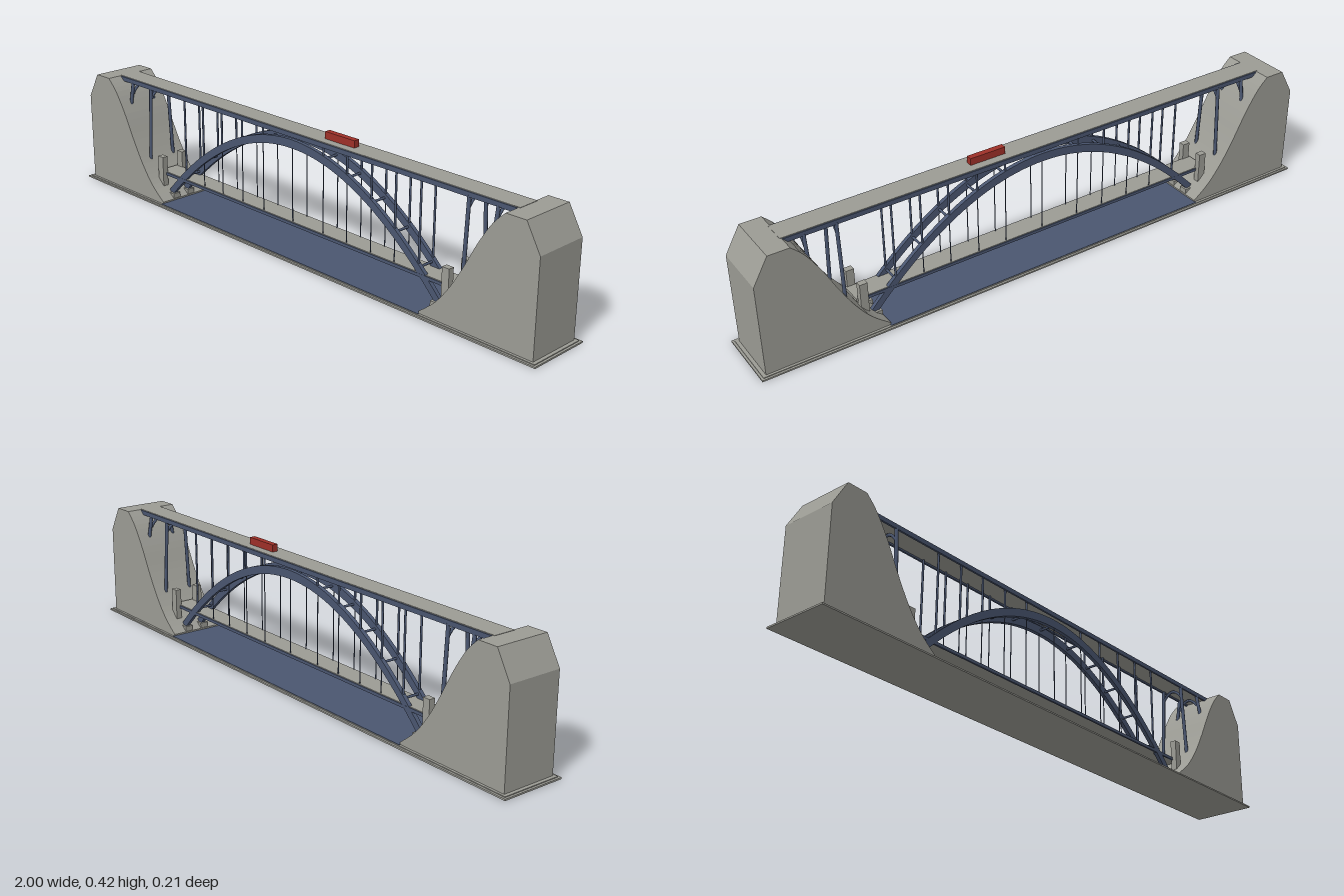
import * as THREE from 'three';

export function createModel() {
  const model = new THREE.Group();
  model.name = 'archBridge';
  const mat = (name, color) => {
    const m = new THREE.MeshStandardMaterial({ color });
    m.name = name;
    return m;
  };
  const concrete = mat('concrete', 0x9b9b94);
  const steel = mat('blueSteel', 0x4a5670);
  const red = mat('trainRed', 0x9e3028);

  const add = (name, geo, material) => {
    const mesh = new THREE.Mesh(geo, material);
    mesh.name = name;
    model.add(mesh);
    return mesh;
  };
  // box given by its minimum and maximum corners
  const box = (name, material, x0, x1, y0, y1, z0, z1) =>
    add(name, new THREE.BoxGeometry(x1 - x0, y1 - y0, z1 - z0), material)
      .position.set((x0 + x1) / 2, (y0 + y1) / 2, (z0 + z1) / 2);
  // straight round bar between two points
  const bar = (name, a, b, r) => {
    const d = b.clone().sub(a);
    const mesh = add(name, new THREE.CylinderGeometry(r, r, d.length(), 8), steel);
    mesh.position.copy(a).add(b).multiplyScalar(0.5);
    mesh.quaternion.setFromUnitVectors(new THREE.Vector3(0, 1, 0), d.normalize());
  };
  const V = (x, y, z) => new THREE.Vector3(x, y, z);

  // plinth with a chamfered upper rim, and the water lying on it
  box('plinth', concrete, -1, 1, 0, 0.005, -0.107, 0.107);
  box('plinthRim', concrete, -0.993, 0.993, 0.005, 0.0075, -0.1, 0.1);
  box('water', steel, -0.585, 0.585, 0.003, 0.009, -0.098, 0.098);

  // rocky banks: one profile with a curved inner slope, extruded and mirrored
  const slope = [[0.865, 0.396], [0.825, 0.355], [0.78, 0.285], [0.735, 0.2],
    [0.69, 0.125], [0.64, 0.062], [0.582, 0.014]];
  const curve = new THREE.SplineCurve(slope.map(p => new THREE.Vector2(...p)));
  const slopePoints = curve.getPoints(24);
  const slopeY = x => {
    const i = slopePoints.findIndex(p => p.x <= x);
    const a = slopePoints[i - 1], b = slopePoints[i];
    return a.y + (b.y - a.y) * (a.x - x) / (a.x - b.x);
  };
  for (const s of [-1, 1]) {
    const pts = [[0.982, 0.005], [0.982, 0.31], [0.933, 0.396]].map(p => new THREE.Vector2(...p))
      .concat(slopePoints, new THREE.Vector2(0.582, 0.005));
    const shape = new THREE.Shape(pts.map(p => new THREE.Vector2(p.x * s, p.y)));
    const geo = new THREE.ExtrudeGeometry(shape, { depth: 0.184, bevelEnabled: false });
    geo.translate(0, 0, -0.092);
    add(s > 0 ? 'leftBank' : 'rightBank', geo, concrete);
  }

  // upper deck with steel edge girders
  box('upperRoad', concrete, -0.87, 0.87, 0.386, 0.397, -0.037, 0.037);
  for (const s of [-1, 1])
    box('upperGirder', steel, -0.865, 0.865, 0.38, 0.395, s * 0.038 - 0.003, s * 0.038 + 0.003);

  // lower deck with its edge girders
  box('lowerRoad', concrete, -0.66, 0.66, 0.089, 0.099, -0.035, 0.035);
  for (const s of [-1, 1])
    box('lowerGirder', steel, -0.63, 0.63, 0.087, 0.097, s * 0.035 - 0.003, s * 0.035 + 0.003);

  // twin arch ribs, thin crescent extruded across z
  const arch = x => 0.357 - 0.325 * (x / 0.605) ** 2;
  const upper = [], lower = [];
  for (let i = 0; i <= 48; i++) {
    const x = -0.605 + 1.21 * i / 48;
    const k = -2 * 0.325 * x / 0.605 ** 2;
    const n = new THREE.Vector2(-k, 1).normalize().multiplyScalar(0.014 - 0.003 * Math.abs(x) / 0.605);
    upper.push(new THREE.Vector2(x + n.x, arch(x) + n.y));
    lower.unshift(new THREE.Vector2(x - n.x, arch(x) - n.y));
  }
  const ribShape = new THREE.Shape(upper.concat(lower));
  const ribZ = 0.031;
  for (const s of [-1, 1]) {
    const geo = new THREE.ExtrudeGeometry(ribShape, { depth: 0.013, bevelEnabled: false });
    geo.translate(0, 0, s * ribZ - 0.0065);
    add('archRib', geo, steel);
  }

  // cross struts between the ribs
  for (const x of [0, 0.135, 0.235, 0.335, 0.43, 0.525])
    for (const s of x ? [-1, 1] : [1])
      bar('archStrut', V(s * x, arch(x), -ribZ), V(s * x, arch(x), ribZ), 0.004);

  for (const sx of [-1, 1]) {
    for (const sz of [-1, 1]) {
      const z = sz * ribZ;
      // columns above the arch and thin hangers below it
      for (const x of [0.135, 0.235, 0.335, 0.43, 0.525]) {
        bar('spandrelColumn', V(sx * x, arch(x), z), V(sx * x, 0.385, z), 0.0035);
        if (x < 0.48) bar('hanger', V(sx * x, 0.095, z), V(sx * x, arch(x), z), 0.0016);
      }
      // splayed legs of the portal piers on the slopes
      for (const x of [0.7, 0.8])
        bar('pierLeg', V(sx * x, slopeY(x) - 0.015, sz * 0.049), V(sx * x, 0.385, sz * 0.036), 0.006);
      // arch footing and lower deck pylon
      box('archFooting', concrete, sx * 0.605 - 0.022, sx * 0.605 + 0.022, 0.005, 0.032, z - 0.014, z + 0.014);
      box('pylon', concrete, sx * 0.641 - 0.013, sx * 0.641 + 0.013, 0.05, 0.155, sz * 0.042 - 0.01, sz * 0.042 + 0.01);
    }
    // curved heads of the portal piers
    for (const x of [0.7, 0.8]) {
      const head = new THREE.QuadraticBezierCurve3(
        V(sx * x, 0.345, -0.038), V(sx * x, 0.405, 0), V(sx * x, 0.345, 0.038));
      add('pierHead', new THREE.TubeGeometry(head, 12, 0.005, 6), steel);
    }
  }
  for (const s of [-1, 1])
    bar('hanger', V(0, 0.095, s * ribZ), V(0, arch(0), s * ribZ), 0.0016);

  // train on the upper deck
  box('train', red, 0.12, 0.242, 0.397, 0.42, -0.01, 0.01);
  return model;
}
